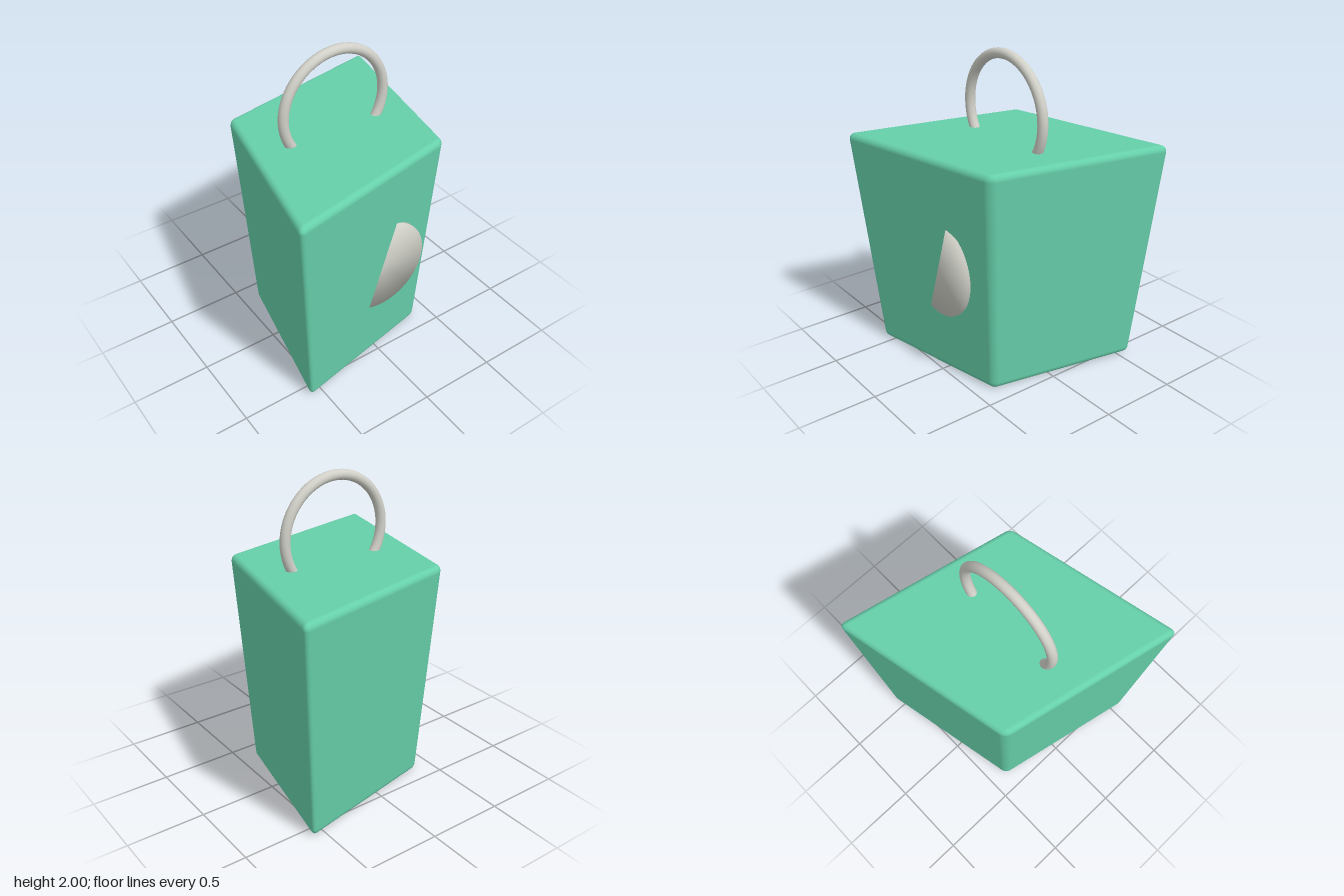
import * as THREE from 'three';
import { RoundedBoxGeometry } from 'three/addons/geometries/RoundedBoxGeometry.js';

const HEIGHT = 1.445;

// Rounded block, sheared to a diamond plan and narrowing toward the base
function bodyGeometry() {
  const side = 1.164, shear = -0.205, slope = 0.16 / 1.36;
  const geo = new RoundedBoxGeometry(side, HEIGHT, side, 5, 0.042);
  geo.translate(0, HEIGHT / 2, 0);
  geo.applyMatrix4(new THREE.Matrix4().set(
    1, 0, shear, 0,
    0, 1, 0, 0,
    shear, 0, 1, 0,
    0, 0, 0, 1));
  const pos = geo.attributes.position, nor = geo.attributes.normal;
  const n = new THREE.Vector3();
  for (let i = 0; i < pos.count; i++) {
    const x = pos.getX(i), y = pos.getY(i), z = pos.getZ(i);
    const s = 0.84 + slope * (y - 0.04);
    n.fromBufferAttribute(nor, i);
    n.set(n.x / s, n.y - (slope / s) * (x * n.x + z * n.z), n.z / s).normalize();
    pos.setXYZ(i, x * s, y, z * s);
    nor.setXYZ(i, n.x, n.y, n.z);
  }
  return geo;
}

// Thin disc facing forward, with normals softened over the rim
function discGeometry(radius, depth) {
  const geo = new THREE.CylinderGeometry(radius, radius, depth, 64);
  geo.rotateX(Math.PI / 2);
  const pos = geo.attributes.position, nor = geo.attributes.normal;
  const n = new THREE.Vector3();
  for (let i = 0; i < pos.count; i++) {
    n.set(pos.getX(i) / radius, pos.getY(i) / radius, Math.sign(pos.getZ(i)) * 0.8).normalize();
    nor.setXYZ(i, n.x, n.y, n.z);
  }
  return geo;
}

export function createModel() {
  const group = new THREE.Group();
  const green = new THREE.MeshStandardMaterial({ color: 0x66cfaa });
  green.name = 'mint green';
  const silver = new THREE.MeshStandardMaterial({ color: 0xd0d0c8 });
  silver.name = 'silver grey';

  const add = (name, geometry, material, x, y, z) => {
    const mesh = new THREE.Mesh(geometry, material);
    mesh.name = name;
    mesh.position.set(x, y, z);
    group.add(mesh);
  };

  add('body', bodyGeometry(), green, 0, 0, 0);
  // Ring handle, its lower part sunk in the body
  add('ringHandle', new THREE.TorusGeometry(0.355, 0.032, 20, 72), silver, 0, 1.613, 0);
  // Disc set into the slanted front, so only one half emerges
  add('frontDisc', discGeometry(0.307, 0.022), silver, 0, 0.722, 0.502);
  return group;
}
